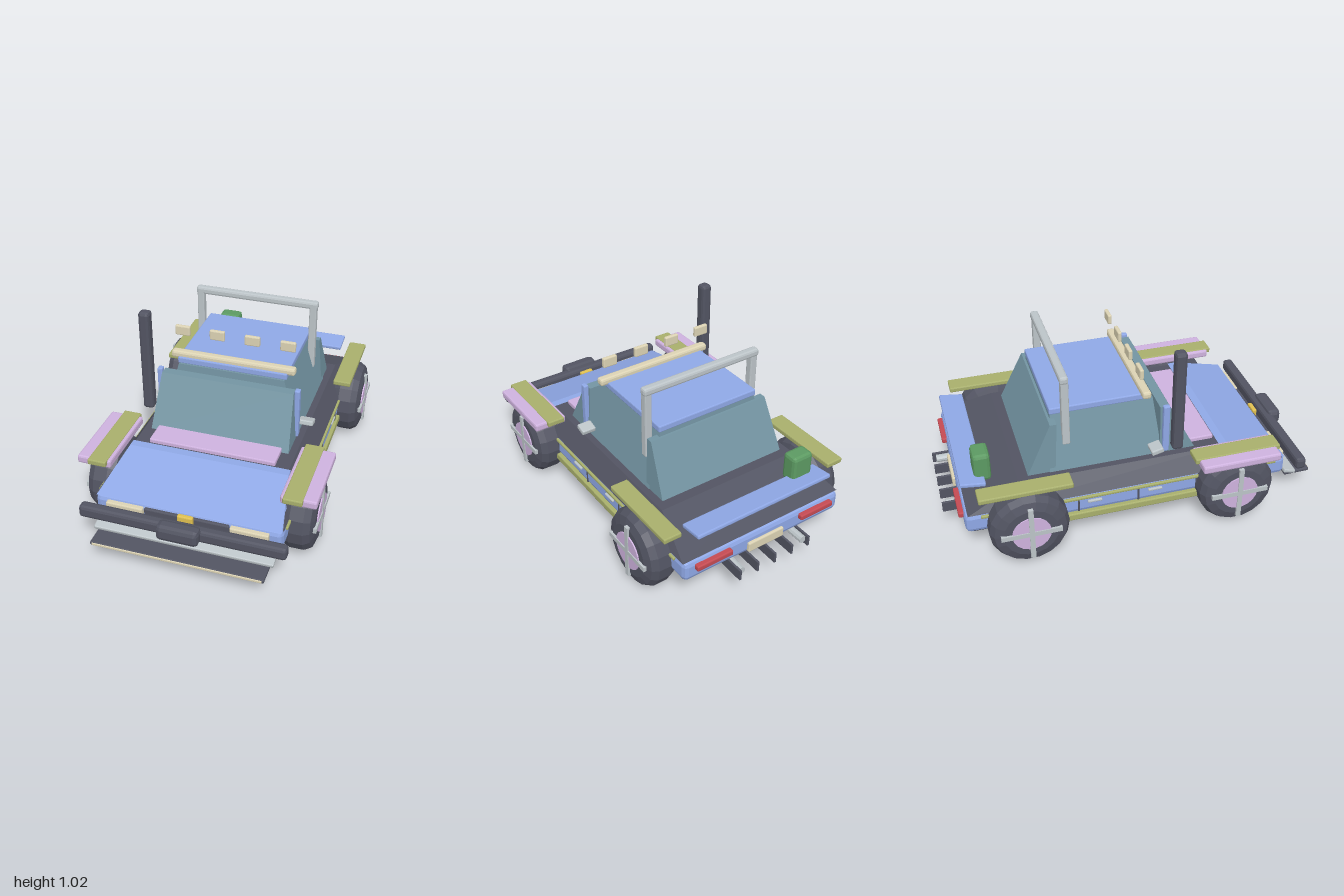
import * as THREE from 'three';
import { RoundedBoxGeometry } from 'three/addons/geometries/RoundedBoxGeometry.js';

const mat = (color) => new THREE.MeshStandardMaterial({ color, flatShading: true });
const blue = mat(0x8fa8e6), dark = mat(0x525462), glass = mat(0x7394a2), pink = mat(0xceb2de),
  olive = mat(0xa8af6c), silver = mat(0xbcc4c8), cream = mat(0xdcd3b4), green = mat(0x5c9a62),
  red = mat(0xc44a52), yellow = mat(0xe0c050);

export function createModel() {
  const car = new THREE.Group();
  car.name = 'offRoadCar';

  function add(name, geometry, material, parent = car) {
    const mesh = new THREE.Mesh(geometry, material);
    mesh.name = name;
    parent.add(mesh);
    return mesh;
  }

  // Chamfered block given by its limits on each axis
  function block(name, material, [x0, x1], [y0, y1], [z0, z1], chamfer = 0.006) {
    const w = x1 - x0, h = y1 - y0, d = z1 - z0;
    const r = Math.min(chamfer, w * 0.3, h * 0.3, d * 0.3);
    const mesh = add(name, new RoundedBoxGeometry(w, h, d, 1, r), material);
    mesh.position.set((x0 + x1) / 2, (y0 + y1) / 2, (z0 + z1) / 2);
    return mesh;
  }

  // The same block on both sides
  function pair(name, material, [x0, x1], y, z, chamfer) {
    return [block(name + 'Left', material, [x0, x1], y, z, chamfer),
      block(name + 'Right', material, [-x1, -x0], y, z, chamfer)];
  }

  // Tapered box: bottom and top are [halfWidth, zBack, zFront, y]
  function taper(name, material, bottom, top) {
    const g = new THREE.BoxGeometry(2, 2, 2);
    const p = g.attributes.position;
    for (let i = 0; i < p.count; i++) {
      const [w, back, front, y] = p.getY(i) > 0 ? top : bottom;
      p.setXYZ(i, p.getX(i) * w, y, p.getZ(i) > 0 ? front : back);
    }
    g.computeVertexNormals();
    return add(name, g, material);
  }

  // Body shell
  taper('underbody', dark, [0.44, -0.86, 0.75, 0.145], [0.48, -0.89, 0.8, 0.19]);
  block('lowerBody', blue, [-0.485, 0.485], [0.175, 0.285], [-0.91, 0.82], 0.025);
  taper('upperBody', dark, [0.485, -0.895, 0.8, 0.285], [0.415, -0.62, 0.49, 0.385]);
  taper('hood', blue, [0.48, 0.76, 0.815, 0.284], [0.425, 0.46, 0.505, 0.388]);
  block('cowlPanel', pink, [-0.34, 0.34], [0.375, 0.407], [0.3, 0.45]);
  pair('sideTrim', olive, [0.48, 0.495], [0.262, 0.278], [-0.83, 0.76]);
  pair('sill', olive, [0.45, 0.5], [0.14, 0.18], [-0.42, 0.36]);
  for (const z of [0.31, -0.01, -0.33])
    pair('doorSeam', dark, [0.475, 0.489], [0.185, 0.262], [z - 0.005, z + 0.005]);
  for (const z of [0.08, -0.245])
    pair('doorHandle', silver, [0.48, 0.497], [0.235, 0.248], [z - 0.038, z + 0.038]);

  // Cabin with wedge-shaped front and rear screens
  taper('cabin', glass, [0.38, -0.45, 0.15, 0.383], [0.29, -0.42, 0.12, 0.685]);
  taper('windshield', glass, [0.378, 0.14, 0.33, 0.383], [0.36, 0.14, 0.19, 0.658]);
  taper('rearScreen', glass, [0.375, -0.565, -0.42, 0.383], [0.355, -0.435, -0.4, 0.658]);
  block('roof', blue, [-0.3, 0.3], [0.682, 0.718], [-0.425, 0.11]);
  pair('windshieldPillar', blue, [0.362, 0.39], [0.395, 0.675], [0.15, 0.185]);
  for (const m of pair('mirror', silver, [0.375, 0.455], [0.435, 0.463], [0.07, 0.135]))
    m.rotation.x = -0.25;

  // Roof lamps, roll bar and snorkel
  block('roofLightBar', cream, [-0.34, 0.34], [0.705, 0.745], [0.053, 0.1], 0.012);
  for (let i = 0; i < 4; i++) {
    const x = -0.2875 + i * 0.1917;
    block('roofLamp' + (i + 1), cream, [x - 0.041, x + 0.041], [0.823, 0.878], [0.038, 0.06]);
  }
  block('rollBarTop', silver, [-0.35, 0.35], [0.878, 0.92], [-0.375, -0.33], 0.012);
  pair('rollBarPost', silver, [0.304, 0.344], [0.515, 0.9], [-0.37, -0.33]);
  block('snorkel', dark, [-0.46, -0.4], [0.445, 1.02], [0.18, 0.24], 0.016);

  // Fender flares
  pair('frontFender', pink, [0.438, 0.62], [0.383, 0.427], [0.295, 0.72], 0.01);
  pair('frontFenderPad', olive, [0.455, 0.553], [0.402, 0.432], [0.275, 0.742]);
  pair('rearFenderPad', olive, [0.455, 0.553], [0.402, 0.43], [-0.842, -0.367]);

  // Front end
  block('grille', dark, [-0.22, 0.22], [0.185, 0.27], [0.8, 0.832]);
  block('grilleBadgePlate', yellow, [-0.04, 0.04], [0.235, 0.285], [0.825, 0.85]);
  pair('headlight', cream, [0.225, 0.42], [0.215, 0.27], [0.81, 0.842]);
  block('frontPlate', cream, [-0.11, 0.11], [0.173, 0.205], [0.815, 0.84]);
  block('frontBumper', dark, [-0.53, 0.53], [0.215, 0.282], [0.868, 0.925], 0.016);
  block('winch', dark, [-0.108, 0.108], [0.214, 0.3], [0.893, 0.97], 0.024);
  const guard = block('lowerGuardBar', silver, [-0.465, 0.465], [0.143, 0.165], [0.835, 0.905]);
  guard.rotation.x = 0.25;
  block('splitter', dark, [-0.445, 0.445], [0.118, 0.137], [0.85, 0.997]);
  block('splitterEdge', cream, [-0.435, 0.435], [0.12, 0.134], [0.99, 1]);

  // Rear end
  const spoiler = block('spoiler', blue, [-0.41, 0.41], [0.402, 0.424], [-0.91, -0.78]);
  spoiler.rotation.x = 0.13;
  block('fuelCan', green, [-0.355, -0.232], [0.385, 0.542], [-0.83, -0.742], 0.018);
  pair('tailLight', red, [0.215, 0.425], [0.235, 0.265], [-0.935, -0.9]);
  block('rearPlate', cream, [-0.11, 0.11], [0.185, 0.24], [-0.925, -0.9]);
  for (let i = -2; i <= 2; i++) {
    const x = i * 0.108;
    block('diffuserFin', dark, [x - 0.006, x + 0.006], [0.12, 0.18], [-1, -0.85], 0.002);
  }
  for (const s of [1, -1]) {
    const pipe = add('exhaust', new THREE.CylinderGeometry(0.021, 0.021, 0.13, 10), silver);
    pipe.rotation.x = Math.PI / 2;
    pipe.position.set(s * 0.195, 0.155, -0.915);
  }

  // Wheels: bevelled tyre, hub disc and cross spokes, facing +x
  const tyreProfile = [[0, -0.085], [0.15, -0.085], [0.19, -0.07], [0.205, -0.035], [0.205, 0.035],
    [0.185, 0.068], [0.14, 0.083], [0, 0.083]].map(([r, y]) => new THREE.Vector2(r, y));
  function wheel(name, side, z) {
    const g = new THREE.Group();
    g.name = name;
    add('tyre', new THREE.LatheGeometry(tyreProfile, 18), dark, g).rotation.z = -Math.PI / 2;
    const hub = add('hub', new THREE.CylinderGeometry(0.1, 0.1, 0.02, 18), pink, g);
    hub.rotation.z = -Math.PI / 2;
    hub.position.x = 0.08;
    for (const a of [0, Math.PI / 2]) {
      const spoke = add('spoke', new THREE.BoxGeometry(0.03, 0.31, 0.026), silver, g);
      spoke.position.x = 0.08;
      spoke.rotation.x = a;
    }
    g.position.set(side * 0.518, 0.205, z);
    if (side < 0) g.rotation.y = Math.PI;
    car.add(g);
  }
  for (const [label, side] of [['Left', 1], ['Right', -1]]) {
    wheel('frontWheel' + label, side, 0.51);
    wheel('rearWheel' + label, side, -0.6);
  }
  return car;
}
